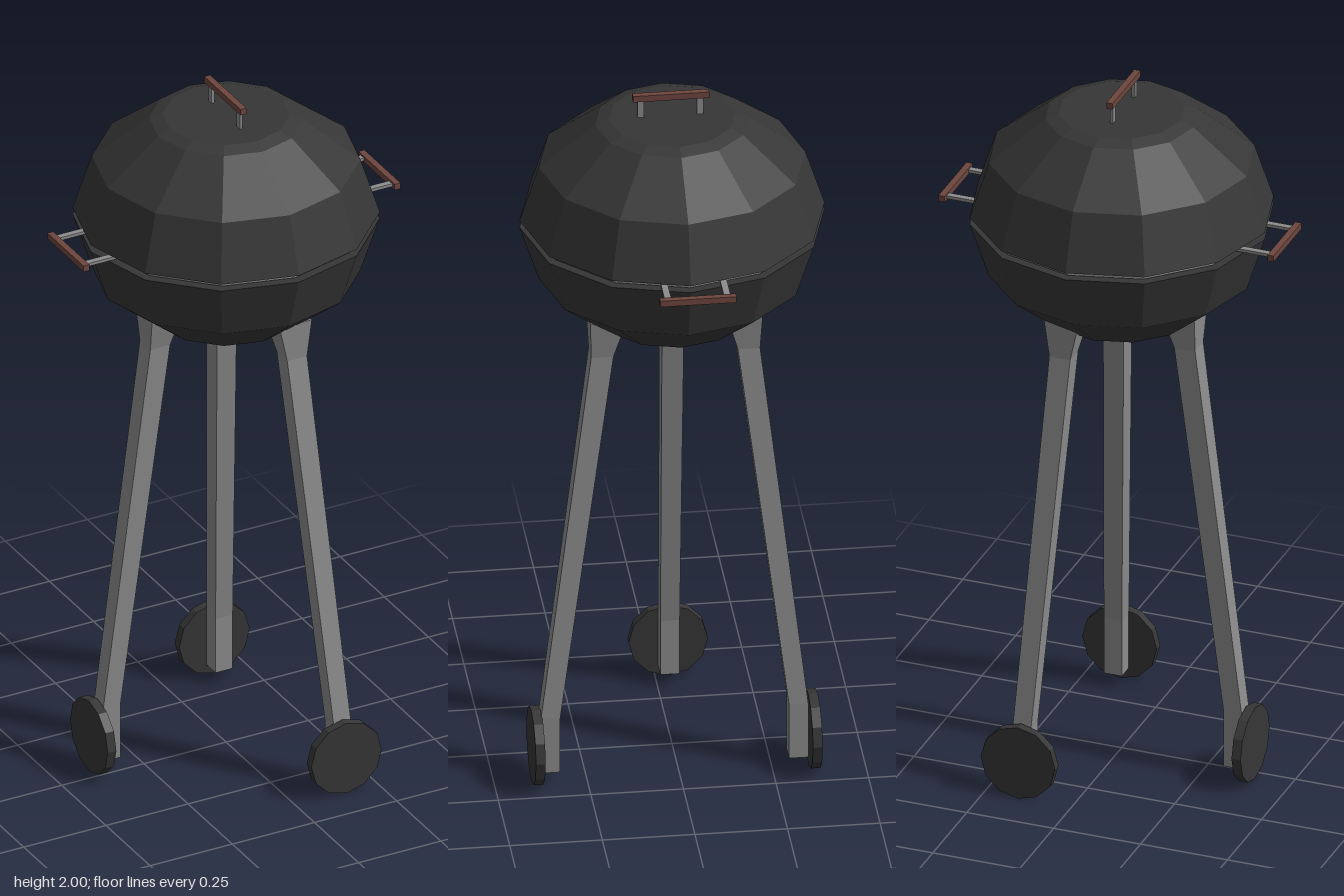
import * as THREE from 'three';

const SIDES = 12;

function mat(name, color) {
  const m = new THREE.MeshStandardMaterial({ color, flatShading: true });
  m.name = name;
  return m;
}

export function createModel() {
  const enamel = mat('black enamel', 0x363636);
  const metal = mat('grey metal', 0x8c8c8c);
  const wood = mat('red brown wood', 0x6e463f);
  const model = new THREE.Group();
  model.name = 'kettleGrill';

  const add = (name, geometry, material, x = 0, y = 0, z = 0, parent = model) => {
    const mesh = new THREE.Mesh(geometry, material);
    mesh.name = name;
    mesh.position.set(x, y, z);
    parent.add(mesh);
    return mesh;
  };
  const box = (name, w, h, d, material, x, y, z, parent) =>
    add(name, new THREE.BoxGeometry(w, h, d), material, x, y, z, parent);
  const lathe = (name, points, material) =>
    add(name, new THREE.LatheGeometry(points.map(p => new THREE.Vector2(...p)), SIDES), material);

  // Faceted kettle: bowl, grate showing in the gap, and lid
  lathe('bowl', [[0, 1.315], [0.11, 1.317], [0.207, 1.334], [0.36, 1.457], [0.412, 1.617], [0, 1.617]], enamel);
  lathe('grate', [[0, 1.62], [0.39, 1.62], [0.39, 1.634], [0, 1.634]], metal);
  lathe('lid', [[0, 1.637], [0.412, 1.637], [0.36, 1.797], [0.207, 1.917], [0.17, 1.93], [0, 1.934]], enamel);

  // Lid handle
  const lidHandle = new THREE.Group();
  lidHandle.name = 'lidHandle';
  model.add(lidHandle);
  box('lidGrip', 0.018, 0.018, 0.206, wood, -0.004, 1.991, 0.003, lidHandle);
  for (const z of [-0.076, 0.084]) {
    box('lidHandlePost', 0.009, 0.06, 0.018, metal, -0.004, 1.953, z, lidHandle);
  }

  // Bowl handles on both sides
  for (const s of [-1, 1]) {
    const handle = new THREE.Group();
    handle.name = s > 0 ? 'leftHandle' : 'rightHandle';
    model.add(handle);
    box('sideGrip', 0.018, 0.018, 0.206, wood, s * 0.473, 1.627, -0.012, handle);
    for (const z of [-0.092, 0.068]) {
      box('sideHandlePost', 0.12, 0.009, 0.018, metal, s * 0.408, 1.627, z, handle);
    }
  }

  // Leg: a square bar bent above the foot and flared under the bowl
  function legGeometry(foot, top) {
    const lean = y => (y - 0.2) / 1.07;
    const at = y => foot.map((f, i) => f + (top[i] - f) * Math.max(0, lean(y)));
    const stations = [[0.035, 0.026], [0.2, 0.026], [1.27, 0.03], [1.38, 0.049]];
    const g = new THREE.BoxGeometry(1, 1, 1, 1, 3, 1);
    const p = g.attributes.position;
    for (let i = 0; i < p.count; i++) {
      const [y, half] = stations[Math.round((p.getY(i) + 0.5) * 3)];
      const [cx, cz] = at(y);
      p.setXYZ(i, cx + 2 * half * p.getX(i), y, cz + 2 * half * p.getZ(i));
    }
    g.computeVertexNormals();
    return g;
  }

  // Foot, top and wheel centre of each leg, in x and z
  const legs = [
    { name: 'frontLeg', foot: [0.152, 0.35], top: [0.091, 0.203], wheel: [0.152, 0.386] },
    { name: 'backLeg', foot: [0.152, -0.32], top: [0.091, -0.193], wheel: [0.152, -0.362] },
    { name: 'rightLeg', foot: [-0.343, -0.034], top: [-0.203, -0.025], wheel: [-0.385, -0.036] },
  ];
  for (const { name, foot, top, wheel } of legs) {
    add(name, legGeometry(foot, top), metal);
    const disc = new THREE.CylinderGeometry(0.107, 0.107, 0.026, SIDES);
    disc.rotateX(Math.PI / 2);
    if (name === 'rightLeg') disc.rotateY(Math.PI / 2);
    add(name + 'Wheel', disc, enamel, wheel[0], 0.108, wheel[1]);
  }
  return model;
}
